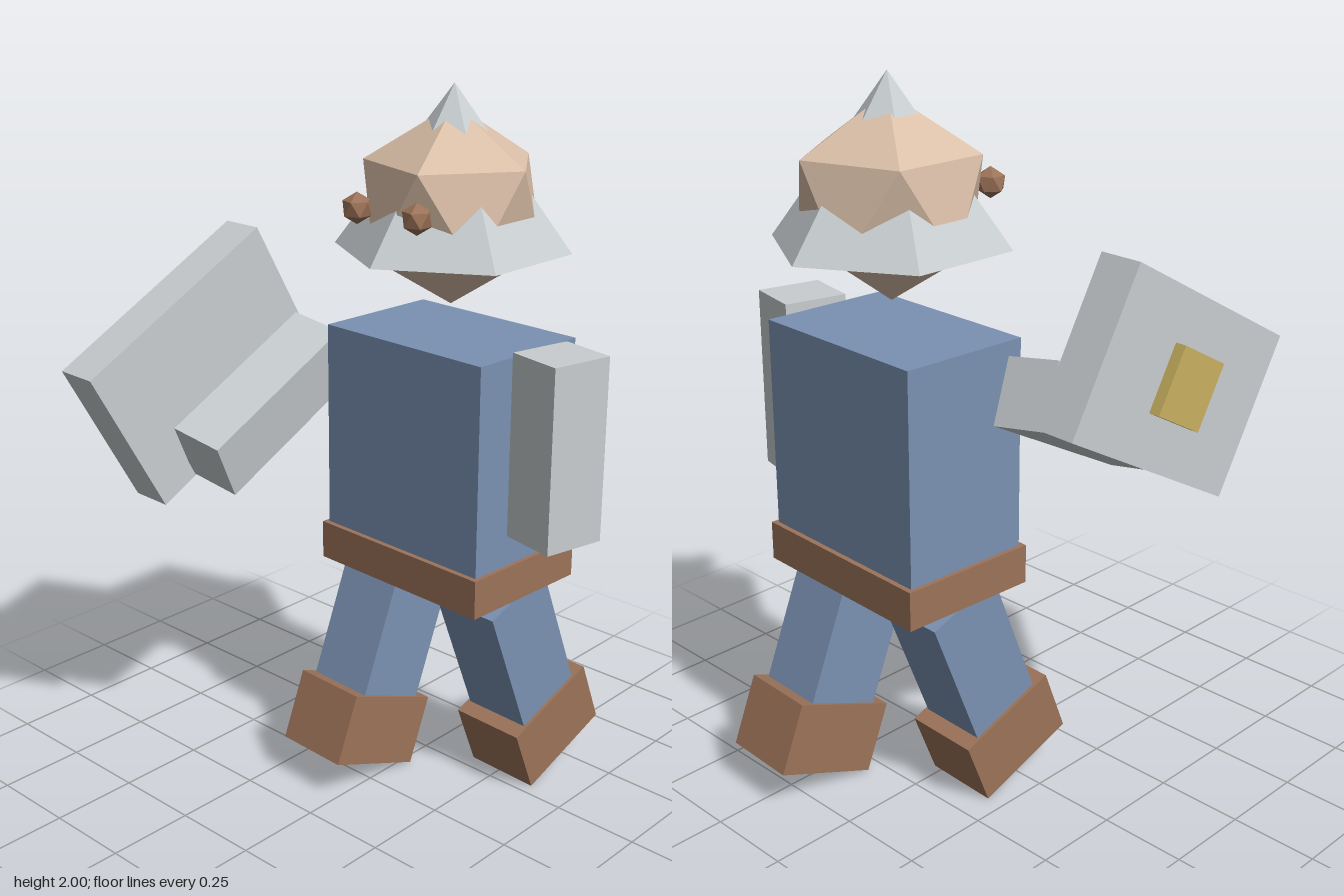
import * as THREE from 'three';

const paint = (name, color) => {
  const m = new THREE.MeshStandardMaterial({ color });
  m.name = name;
  return m;
};

export function createModel() {
  const steel = paint('steel grey', 0xc8cdd0);
  const cloth = paint('cloth blue', 0x7a91b2);
  const leather = paint('leather brown', 0x9c7359);
  const skin = paint('skin tan', 0xdabfa8);
  const gold = paint('gold', 0xc8b060);

  const model = new THREE.Group();
  model.name = 'knight';

  const add = (parent, name, geometry, material, x, y, z) => {
    const mesh = new THREE.Mesh(geometry, material);
    mesh.name = name;
    mesh.position.set(x, y, z);
    parent.add(mesh);
    return mesh;
  };
  const box = (parent, name, size, material, x, y, z) =>
    add(parent, name, new THREE.BoxGeometry(...size), material, x, y, z);

  // Icosahedron standing on one corner
  const gem = (radius) => new THREE.IcosahedronGeometry(radius, 0).rotateZ(-Math.atan(2 / (1 + Math.sqrt(5))));

  // Torso, belt and legs share a slight turn
  const body = new THREE.Group();
  body.name = 'body';
  body.position.set(0.088, 0, -0.222);
  body.rotation.y = -0.042;
  model.add(body);
  box(body, 'torso', [0.56, 0.64, 0.38], cloth, 0, 1.02, 0);
  box(body, 'belt', [0.585, 0.11, 0.41], leather, 0, 0.7, 0);

  // Striding legs, swinging from the hip
  for (const [side, sign] of [['left', 1], ['right', -1]]) {
    const leg = new THREE.Group();
    leg.name = side + 'Leg';
    leg.position.set(0.17 * sign, 0.64, 0);
    leg.rotation.x = 0.375 * sign;
    body.add(leg);
    box(leg, side + 'Trouser', [0.205, 0.45, 0.228], cloth, 0, -0.225, 0);
    box(leg, side + 'Boot', [0.225, 0.205, 0.32], leather, 0, -0.517, 0);
  }

  // Hanging left arm and raised right arm
  const armSize = [0.165, 0.51, 0.182];
  box(model, 'leftArm', armSize, steel, 0.47, 1.1, -0.208).rotation.y = -0.22;
  box(model, 'rightArm', armSize, steel, -0.315, 1.122, 0.087).rotation.set(-1.083, 0.159, -0.03);

  // Shield with a boss on its outer side
  const shield = new THREE.Group();
  shield.name = 'shield';
  shield.position.set(-0.472, 1.231, 0.199);
  shield.rotation.set(-1.074, -0.026, -0.038);
  model.add(shield);
  box(shield, 'shieldPlate', [0.127, 0.657, 0.461], steel, 0, 0, 0);
  box(shield, 'shieldBoss', [0.036, 0.178, 0.188], gold, -0.078, 0, 0);

  // Head poking through a six-sided helmet
  const head = new THREE.Group();
  head.name = 'head';
  head.position.set(0.088, 1.682, -0.223);
  model.add(head);
  add(head, 'face', gem(0.265), skin, 0, 0, 0);
  add(head, 'helmet', new THREE.ConeGeometry(0.32, 0.432, 6), steel, 0, 0.102, 0);
  for (const sign of [1, -1]) {
    add(head, sign > 0 ? 'leftEye' : 'rightEye', gem(0.042), leather, -0.004 + 0.102 * sign, 0.017, 0.254);
  }
  head.traverse((o) => { if (o.isMesh) o.material.flatShading = true; });

  return model;
}
